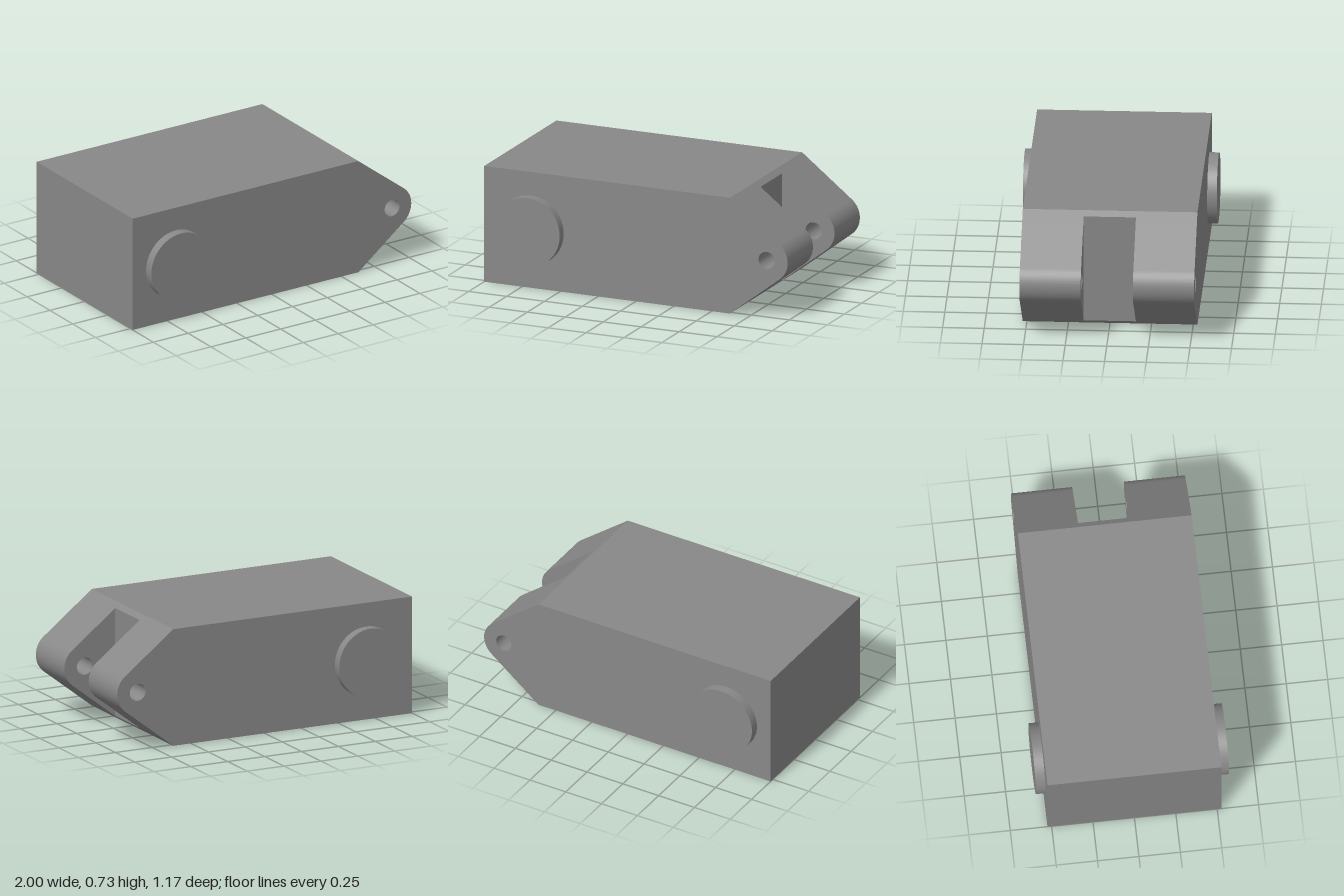
import * as THREE from 'three';
import { toCreasedNormals } from 'three/addons/utils/BufferGeometryUtils.js';

const material = new THREE.MeshStandardMaterial({ color: 0x888888 });

const HEIGHT = 0.725, MID = HEIGHT / 2;
const HALF_DEPTH = 0.525, SLOT_HALF = 0.157;
const SHOULDER_X = 0.62, SLOT_X = 0.655;
const PIN_X = 0.862, NOSE_R = 0.138, HOLE_R = 0.053;

// Tangent from the shoulder corner to the rounded nose
const dx = PIN_X - SHOULDER_X;
const slope = Math.atan2(MID, dx) - Math.asin(NOSE_R / Math.hypot(dx, MID));
const tangent = Math.PI / 2 - slope;
const drop = (SLOT_X - SHOULDER_X) * Math.tan(slope);

function addExtrusion(group, name, shape, z0, z1) {
  const geometry = new THREE.ExtrudeGeometry(shape, {
    depth: z1 - z0, bevelEnabled: false, curveSegments: 32,
  });
  geometry.translate(0, 0, z0);
  const mesh = new THREE.Mesh(toCreasedNormals(geometry, Math.PI / 6), material);
  mesh.name = name;
  group.add(mesh);
}

export function createModel() {
  const group = new THREE.Group();
  group.name = 'clevisBlock';

  // Main block, ending at the floor of the slot
  const block = new THREE.Shape([
    [-1, 0], [SHOULDER_X, 0], [SLOT_X, drop],
    [SLOT_X, HEIGHT - drop], [SHOULDER_X, HEIGHT], [-1, HEIGHT],
  ].map(([x, y]) => new THREE.Vector2(x, y)));
  addExtrusion(group, 'mainBlock', block, -HALF_DEPTH, HALF_DEPTH);

  // Tapered lug with rounded nose and pin hole
  const lug = new THREE.Shape();
  lug.moveTo(SLOT_X, HEIGHT - drop);
  lug.lineTo(SLOT_X, drop);
  lug.absarc(PIN_X, MID, NOSE_R, -tangent, tangent, false);
  lug.closePath();
  const hole = new THREE.Path();
  hole.absarc(PIN_X, MID, HOLE_R, 0, Math.PI * 2, true);
  lug.holes.push(hole);
  addExtrusion(group, 'frontLug', lug, SLOT_HALF, HALF_DEPTH);
  addExtrusion(group, 'backLug', lug, -HALF_DEPTH, -SLOT_HALF);

  // Round bosses on both sides
  for (const side of [1, -1]) {
    const boss = new THREE.Mesh(new THREE.CylinderGeometry(0.214, 0.214, 0.058, 64), material);
    boss.rotation.x = Math.PI / 2;
    boss.position.set(-0.69, 0.364, side * (HALF_DEPTH + 0.029));
    boss.name = side > 0 ? 'frontBoss' : 'backBoss';
    group.add(boss);
  }
  return group;
}
